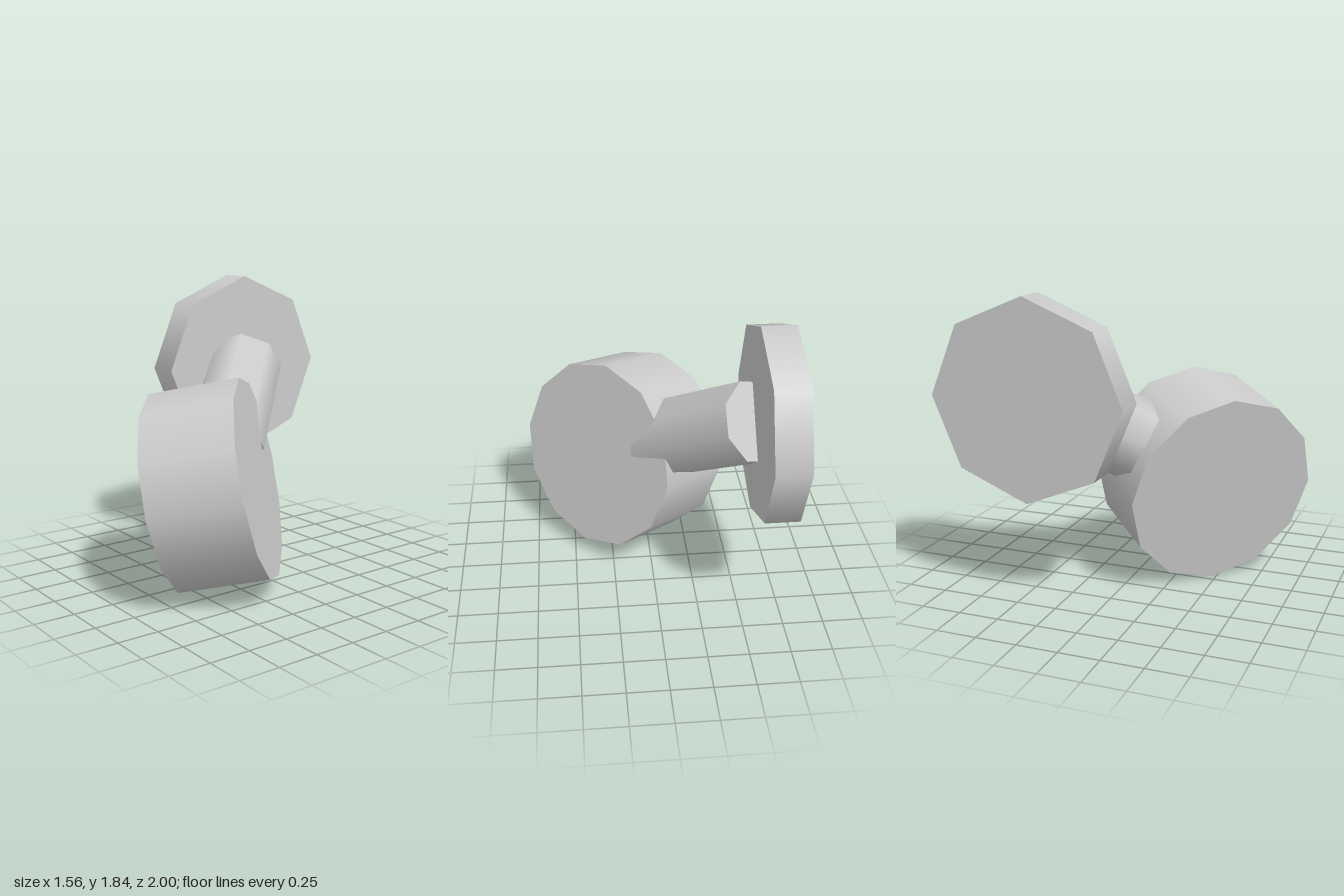
import * as THREE from 'three';

export function createModel() {
  const group = new THREE.Group();
  const grey = new THREE.MeshStandardMaterial({ color: 0xcccccc });
  grey.name = 'lightGrey';

  // Cylinder between two points, with one polygon corner pointing as far up as possible
  function rod(name, start, end, radius, sides) {
    const a = new THREE.Vector3(...start);
    const b = new THREE.Vector3(...end);
    const axis = b.clone().sub(a);
    const length = axis.length();
    axis.normalize();
    const up = new THREE.Vector3(0, 1, 0).addScaledVector(axis, -axis.y).normalize();
    const side = axis.clone().cross(up);
    const mesh = new THREE.Mesh(new THREE.CylinderGeometry(radius, radius, length, sides), grey);
    mesh.name = name;
    mesh.quaternion.setFromRotationMatrix(new THREE.Matrix4().makeBasis(side, axis, up));
    mesh.position.copy(a).add(b).multiplyScalar(0.5);
    group.add(mesh);
  }

  // Upright octagonal plate
  rod('mountingPlate', [-0.783, 1.245, -0.4], [-0.575, 1.245, -0.4], 0.6, 8);

  // Slanted stem from the plate's face into the drum
  rod('stem', [-0.575, 1.245, -0.4], [-0.057, 0.828, 0.15], 0.253, 8);

  // Tilted twelve-sided drum
  rod('drum', [-0.0375, 0.6025, 0.563], [0.3475, 0.7125, 0.183], 0.612, 12);

  return group;
}
